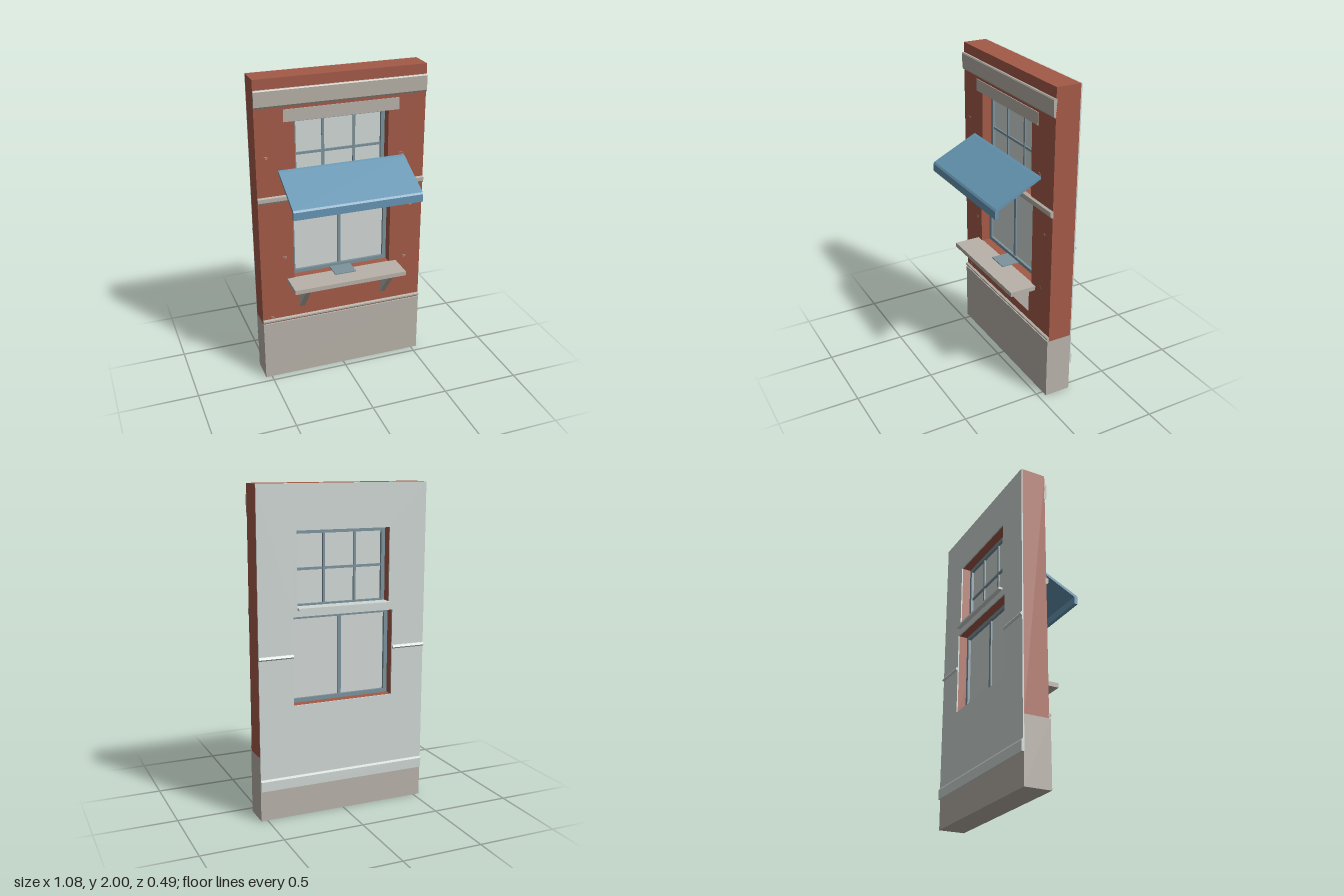
import * as THREE from 'three';

const mat = (name, color) => {
  const m = new THREE.MeshStandardMaterial({ color });
  m.name = name;
  return m;
};

export function createModel() {
  const brick = mat('brick red', 0xa35a47);
  const stone = mat('warm stone', 0xb8b2a9);
  const plaster = mat('pale plaster', 0xcfd7d4);
  const glass = mat('pale glass', 0xd2d9d6);
  const trim = mat('slate trim', 0x7c939d);
  const blue = mat('awning blue', 0x6696b3);

  const root = new THREE.Group();
  root.name = 'windowWall';

  const add = (name, geo, material, parent = root) => {
    const m = new THREE.Mesh(geo, material);
    m.name = name;
    parent.add(m);
    return m;
  };
  // box given by its limits
  const box = (name, material, x0, x1, y0, y1, z0, z1, parent) => {
    const g = new THREE.BoxGeometry(x1 - x0, y1 - y0, z1 - z0);
    g.translate((x0 + x1) / 2, (y0 + y1) / 2, (z0 + z1) / 2);
    return add(name, g, material, parent);
  };
  // side profile of [z, y] points swept along x
  const sweep = (name, material, pts, x0, x1) => {
    const s = new THREE.Shape(pts.map(([z, y]) => new THREE.Vector2(-z, y)));
    const g = new THREE.ExtrudeGeometry(s, { depth: x1 - x0, bevelEnabled: false });
    g.rotateY(Math.PI / 2);
    g.translate(x0, 0, 0);
    return add(name, g, material);
  };
  // rectangle with rectangular holes, given as [x0, x1, y0, y1]
  const corners = ([x0, x1, y0, y1]) =>
    [[x0, y0], [x1, y0], [x1, y1], [x0, y1]].map(p => new THREE.Vector2(...p));
  const panel = (name, material, outer, holes, z0, z1, parent) => {
    const s = new THREE.Shape(corners(outer));
    s.holes = holes.map(h => new THREE.Path(corners(h).reverse()));
    const g = new THREE.ExtrudeGeometry(s, { depth: z1 - z0, bevelEnabled: false });
    g.translate(0, 0, z0);
    return add(name, g, material, parent);
  };

  const W = 0.54;
  const upper = [-0.298, 0.298, 1.275, 1.735];
  const lower = [-0.323, 0.323, 0.7, 1.235];

  // wall layers
  panel('brickWall', brick, [-W, W, 0.4, 2], [upper, lower], -0.209, -0.055);
  panel('plasterLining', plaster, [-W, W, 0.19, 2], [upper, lower], -0.217, -0.209);
  box('stoneBase', stone, -W, W, 0, 0.4, -0.213, -0.045);

  // front mouldings
  sweep('waterTable', stone, [[-0.06, 0.4], [-0.05, 0.405], [-0.04, 0.415], [-0.04, 0.425], [-0.06, 0.432]], -W, W);
  sweep('bandCourse', stone, [[-0.06, 1.235], [-0.048, 1.235], [-0.04, 1.248], [-0.04, 1.272], [-0.06, 1.28]], -W, W);
  sweep('cornice', stone, [[-0.06, 1.828], [-0.05, 1.828], [-0.042, 1.84], [-0.04, 1.93], [-0.045, 1.937], [-0.06, 1.937]], -W, W);
  box('lintel', stone, -0.365, 0.365, 1.735, 1.81, -0.06, -0.05);

  // inner mouldings
  sweep('baseboard', plaster, [[-0.212, 0.19], [-0.212, 0.262], [-0.22, 0.262], [-0.226, 0.25], [-0.226, 0.19]], -W, W);
  for (const [x0, x1] of [[-W, -0.325], [0.325, W]])
    sweep('chairRail', plaster, [[-0.215, 0.992], [-0.215, 1.015], [-0.222, 1.013], [-0.23, 1.0], [-0.224, 0.992]], x0, x1);
  box('innerSill', plaster, -0.297, 0.297, 1.274, 1.288, -0.245, -0.15);

  // windows: frame, glazing bars and pane
  const makeWindow = (name, [x0, x1, y0, y1], bars, rails, barWidth) => {
    const g = new THREE.Group();
    g.name = name;
    root.add(g);
    const t = 0.024;
    panel('frame', trim, [x0, x1, y0, y1], [[x0 + t, x1 - t, y0 + t, y1 - t]], -0.155, -0.115, g);
    box('pane', glass, x0 + 0.01, x1 - 0.01, y0 + 0.01, y1 - 0.01, -0.138, -0.132, g);
    for (const x of bars)
      box('glazingBar', trim, x - barWidth / 2, x + barWidth / 2, y0 + t, y1 - t, -0.148, -0.122, g);
    for (const y of rails)
      box('glazingRail', trim, x0 + t, x1 - t, y - barWidth / 2, y + barWidth / 2, -0.147, -0.123, g);
  };
  makeWindow('upperWindow', upper, [-0.1, 0.1], [1.505], 0.015);
  makeWindow('lowerWindow', lower, [0], [], 0.022);

  // awning with a hanging front edge
  sweep('awning', blue, [[-0.055, 1.425], [-0.055, 1.44], [-0.04, 1.434], [0.235, 1.299],
    [0.244, 1.288], [0.244, 1.24], [0.221, 1.24], [0.221, 1.286]], -0.406, 0.406);

  // serving shelf, brackets and small tray
  box('shelf', stone, -0.37, 0.37, 0.676, 0.704, -0.06, 0.115);
  for (const s of [-1, 1])
    sweep('shelfBracket', stone, [[-0.06, 0.49], [-0.05, 0.49], [0.085, 0.66], [0.085, 0.678], [-0.06, 0.678]],
      s * 0.278 - 0.018, s * 0.278 + 0.018);
  box('tray', trim, -0.07, 0.07, 0.703, 0.71, -0.11, 0.005);

  // small patches of exposed mortar
  for (const [x, y] of [[-0.475, 1.53], [0.39, 1.455], [-0.475, 0.445], [0.25, 0.62], [-0.24, 0.62],
    [-0.38, 0.86], [0.43, 0.73], [0.46, 1.1]])
    for (const k of [0, 1])
      box('mortarPatch', stone, x - 0.014 + k * 0.008, x + 0.008 + k * 0.004,
        y - k * 0.01, y - k * 0.01 + 0.004, -0.056, -0.0545);

  return root;
}
